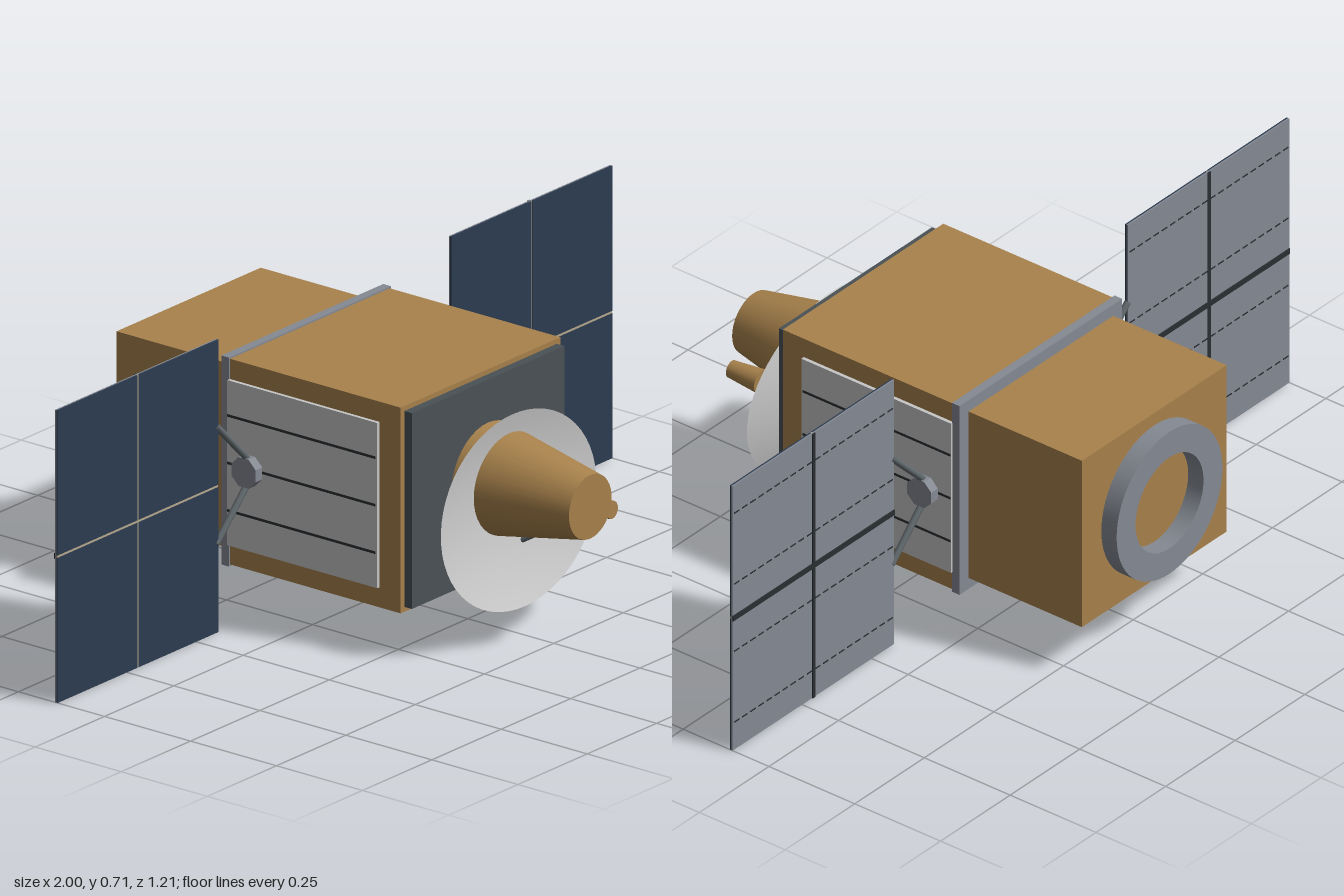
import * as THREE from 'three';
import { toCreasedNormals } from 'three/addons/utils/BufferGeometryUtils.js';

const mat = (name, color, extra = {}) => {
  const m = new THREE.MeshStandardMaterial({ color, ...extra });
  m.name = name;
  return m;
};

export function createModel() {
  const gold = mat('gold foil', 0xa8824c);
  const grey = mat('grey metal', 0x858a93);
  const dark = mat('dark plate', 0x4a5155);
  const strutGrey = mat('strut grey', 0x60686c);
  const navy = mat('solar blue', 0x2d3c50);
  const white = mat('radiator white', 0xc6c6c6);
  const dishWhite = mat('dish white', 0xcccccc, { side: THREE.DoubleSide });
  const black = mat('seam dark', 0x2a2f32);
  const cream = mat('seam cream', 0xb5a88c);

  const model = new THREE.Group();
  const CY = 0.356; // height of the main axis
  const WZ = -0.14; // depth of the solar wings

  const add = (name, geo, material, x = 0, y = 0, z = 0, parent = model) => {
    const mesh = new THREE.Mesh(geo, material);
    mesh.name = name;
    mesh.position.set(x, y, z);
    parent.add(mesh);
    return mesh;
  };
  const box = (name, m, w, h, d, x, y, z, parent) =>
    add(name, new THREE.BoxGeometry(w, h, d), m, x, y, z, parent);
  // tapered rod between two points
  const rod = (name, m, a, b, r0, r1, sides, parent) => {
    const p = new THREE.Vector3(...a), q = new THREE.Vector3(...b);
    const dir = q.clone().sub(p);
    const geo = new THREE.CylinderGeometry(r1, r0, dir.length(), sides);
    const mid = p.clone().add(q).multiplyScalar(0.5);
    const mesh = add(name, geo, m, mid.x, mid.y, mid.z, parent);
    mesh.quaternion.setFromUnitVectors(new THREE.Vector3(0, 1, 0), dir.normalize());
    return mesh;
  };

  // Bus
  box('mainBody', gold, 0.576, 0.498, 0.5, 0, CY, 0.037);
  box('frontPlate', dark, 0.55, 0.474, 0.024, 0, CY, 0.297);
  box('collar', grey, 0.584, 0.506, 0.022, 0, CY, -0.22);
  box('rearBody', gold, 0.52, 0.446, 0.335, 0, CY, -0.394);

  // Docking ring on the back
  const ringShape = new THREE.Shape().absarc(0, 0, 0.19, 0, Math.PI * 2);
  ringShape.holes.push(new THREE.Path().absarc(0, 0, 0.122, 0, Math.PI * 2, true));
  const ringGeo = new THREE.ExtrudeGeometry(ringShape, { depth: 0.045, bevelEnabled: false, curveSegments: 32 });
  add('rearRing', toCreasedNormals(ringGeo, 0.6), grey, 0, CY, -0.606);

  // Front cone
  rod('frontCone', gold, [0, CY, 0.3], [0, CY, 0.606], 0.135, 0.077, 40);

  // Shallow oval dish, tipped slightly upward
  const profile = [];
  for (let i = 0; i <= 10; i++) profile.push(new THREE.Vector2(i / 10, (i / 10) ** 2 * 0.037));
  const dishGeo = new THREE.LatheGeometry(profile, 56);
  dishGeo.rotateX(Math.PI / 2);
  dishGeo.scale(0.28, 0.229, 1);
  const dish = add('dish', dishGeo, dishWhite, 0, 0.295, 0.361);
  dish.rotation.x = -0.078;

  // Feed horn on its arm
  rod('feedHorn', gold, [0.118, 0.302, 0.487], [0.122, 0.304, 0.572], 0.029, 0.021, 20);
  rod('feedArm', strutGrey, [0.012, 0.172, 0.308], [0.115, 0.285, 0.5], 0.009, 0.009, 10);

  for (const s of [1, -1]) {
    const side = s > 0 ? 'left' : 'right';

    // Radiator with seams
    box(side + 'Radiator', white, 0.012, 0.4, 0.436, s * 0.291, CY, 0.008);
    for (const dy of [-0.115, 0, 0.115])
      box(side + 'RadiatorSeam', black, 0.002, 0.006, 0.43, s * 0.2972, CY + dy, 0.006);

    // Wing hub and yoke
    rod(side + 'HubBase', grey, [s * 0.285, CY, WZ], [s * 0.306, CY, WZ], 0.026, 0.026, 8);
    const hub = add(side + 'Hub', new THREE.CylinderGeometry(0.038, 0.038, 0.024, 8).toNonIndexed(), grey, s * 0.313, CY, WZ);
    hub.geometry.rotateY(Math.PI / 8);
    hub.geometry.rotateZ(Math.PI / 2);
    hub.geometry.computeVertexNormals();
    for (const v of [1, -1])
      rod(side + 'YokeStrut', strutGrey, [s * 0.305, CY + v * 0.025, WZ], [s * 0.424, CY + v * 0.143, WZ], 0.008, 0.008, 10);

    // Solar wing: grey backing, four blue cells, cream seams
    const wing = new THREE.Group();
    wing.name = side + 'SolarWing';
    wing.position.set(s * 0.71, 0.354, WZ);
    model.add(wing);
    box('wingBacking', grey, 0.58, 0.708, 0.004, 0, 0, -0.002, wing);
    for (const i of [1, -1])
      for (const j of [1, -1])
        box('solarCell', navy, 0.288, 0.351, 0.004, i * 0.146, j * 0.1785, 0.002, wing);
    box('cellSeamUpright', cream, 0.004, 0.708, 0.003, 0, 0, 0.0015, wing);
    box('cellSeamLevel', cream, 0.58, 0.006, 0.003, 0, 0, 0.0015, wing);

    // Ribs and dashed seams on the back
    box('backRibLevel', black, 0.58, 0.014, 0.003, 0, 0, -0.005, wing);
    box('backRibUpright', black, 0.009, 0.708, 0.003, 0, 0, -0.005, wing);
    for (const y of [-0.28, -0.09, 0.09, 0.28])
      for (let k = 0; k < 20; k++)
        box('backDash', black, 0.018, 0.003, 0.002, -0.2755 + k * 0.029, y, -0.0045, wing);
  }
  return model;
}
